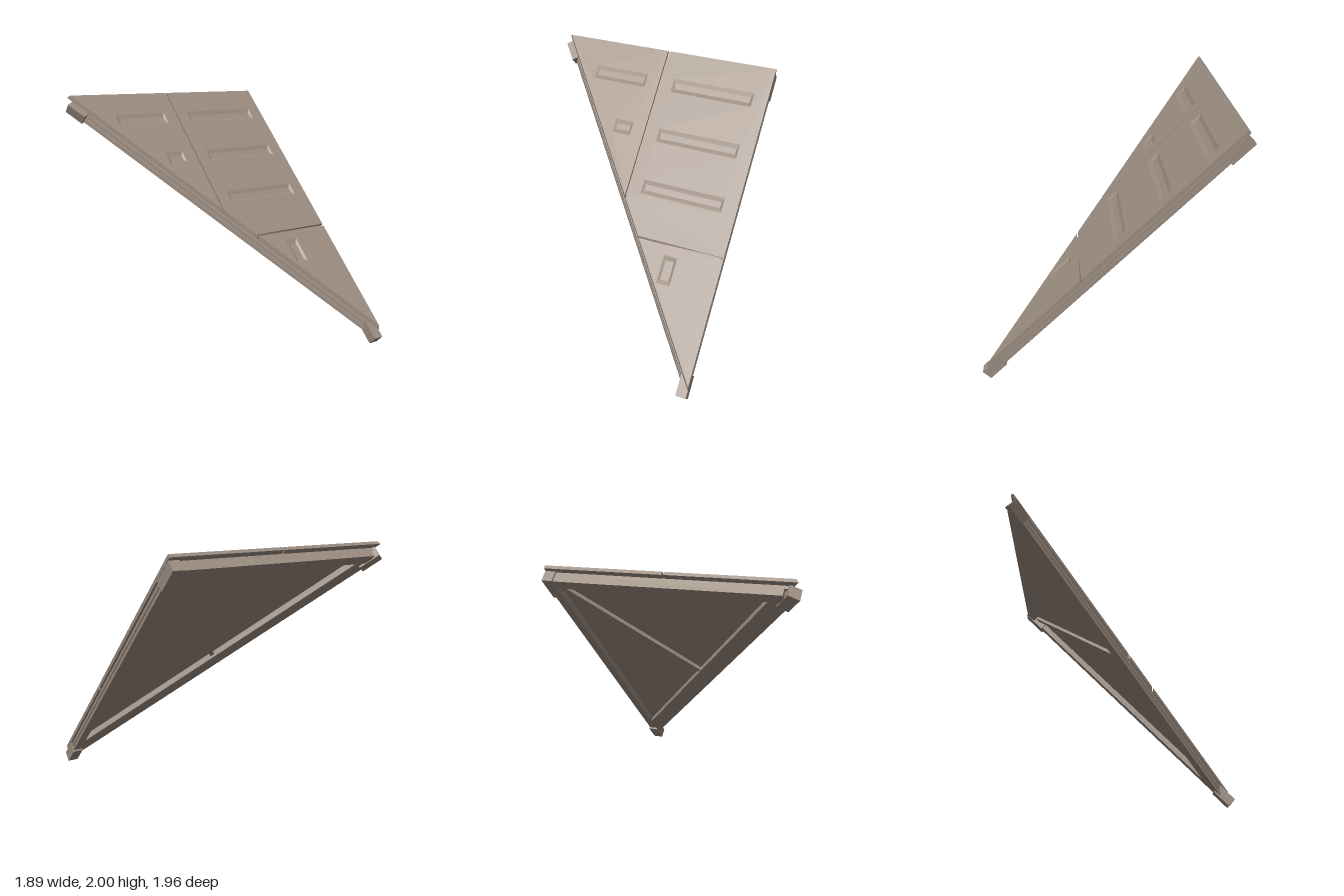
import * as THREE from 'three';

const ROOT2 = Math.SQRT2;
const TOP = 0.765;                                  // height of the outer skin along the panel normal
const hip = (x) => 0.769 - ROOT2 * x;               // slanted edge of the panel, in its own plane

// Flat plate in the panel plane from height n0 to n1.
// Corners lying on the hip edge (moved in by inset) get a plumb mitre cut.
function plate(points, n0, n1, { holes = [], inset = null } = {}) {
  const shape = new THREE.Shape(points.map(([x, s]) => new THREE.Vector2(x, s)));
  for (const [x0, s0, x1, s1] of holes) {
    shape.holes.push(new THREE.Path([[x0, s0], [x0, s1], [x1, s1], [x1, s0]].map(([x, s]) => new THREE.Vector2(x, s))));
  }
  const g = new THREE.ExtrudeGeometry(shape, { depth: n1 - n0, bevelEnabled: false });
  g.translate(0, 0, n0);
  if (inset !== null) {
    const p = g.attributes.position;
    for (let i = 0; i < p.count; i++) {
      const x = p.getX(i), s = p.getY(i), d = p.getZ(i) - TOP;
      if (Math.abs(s - hip(x) - inset) > 1e-3) continue;
      if (s > 1.9) p.setX(i, x + d / ROOT2);
      else p.setY(i, s + d);
    }
    g.computeVertexNormals();
  }
  return g;
}

// Shallow pan with sloping sides that fills a hole in the skin
function pan([x0, s0, x1, s1]) {
  const rim = [[x0, s0], [x1, s0], [x1, s1], [x0, s1]];
  const b = 0.035, e = 0.02;
  const floor = [[x0 + e, s0 + b], [x1 - e, s0 + b], [x1 - e, s1 - b], [x0 + e, s1 - b]];
  const v = [];
  const quad = (a, c, d, f) => v.push(...a, ...c, ...d, ...a, ...d, ...f);
  const R = rim.map((q) => [...q, TOP]), F = floor.map((q) => [...q, TOP - 0.012]);
  for (let i = 0; i < 4; i++) {
    const j = (i + 1) % 4;
    quad(R[i], R[j], F[j], F[i]);
  }
  quad(...F);
  const g = new THREE.BufferGeometry();
  g.setAttribute('position', new THREE.Float32BufferAttribute(v, 3));
  g.computeVertexNormals();
  return g;
}

export function createModel() {
  const model = new THREE.Group();
  model.name = 'triangularRoofPanel';
  const slope = new THREE.Group();
  slope.name = 'slopedPanel';
  slope.rotation.x = -Math.PI / 4;
  model.add(slope);

  const taupe = new THREE.MeshStandardMaterial({ color: 0x9a8b7f });
  taupe.name = 'taupe';
  const add = (name, geometry) => {
    const m = new THREE.Mesh(geometry, taupe);
    m.name = name;
    slope.add(m);
  };
  const rect = (x0, s0, x1, s1) => [[x0, s0], [x1, s0], [x1, s1], [x0, s1]];
  const hipX = (s) => (0.769 - s) / ROOT2;

  // Three skin plates separated by narrow joints, each with pressed dents
  const ridge = 2.063, right = 0.94, under = 0.738;
  const skins = [
    ['leftSkin', [[0.005, hip(0.005)], [0.005, ridge], [hipX(ridge), ridge]],
      [[-0.58, 1.71, -0.11, 1.83], [-0.27, 1.27, -0.11, 1.39]]],
    ['mainSkin', [[0.019, hip(0.019)], [hipX(0.467), 0.467], [right, 0.467], [right, ridge], [0.019, ridge]],
      [0.857, 1.31, 1.755].map((s) => [0.13, s - 0.045, 0.82, s + 0.075])],
    ['lowerSkin', [[hipX(0.451), 0.451], [right, hip(right)], [right, 0.451]],
      [[0.47, 0.14, 0.58, 0.37]]],
  ];
  for (const [name, outline, dents] of skins) {
    add(name, plate(outline, under, TOP, { holes: dents, inset: 0 }));
    for (const d of dents) add(name + 'Dent', pan(d));
  }

  // Backing sheet under the skins
  const m = 0.03;
  add('backingSheet', plate([[0.92, hip(0.92) + m], [0.92, 2.02], [hipX(2.02 - m), 2.02]], 0.712, 0.744, { inset: m }));

  // Edge rails: two strips with a groove between them, closed by a recessed core
  const strips = [[0.665, 0.691, 0], [0.691, 0.699, 0.012], [0.699, 0.724, 0]];
  for (const [n0, n1, back] of strips) {
    const part = back ? 'Groove' : 'Strip';
    add('sideRail' + part, plate(rect(0.865, -0.5, 0.934 - back, 1.9), n0, n1));
    const lo = back * 1.7;
    add('hipRail' + part, plate([
      [-0.86, hip(-0.86) + lo], [0.87, hip(0.87) + lo],
      [0.87, hip(0.87) + 0.14], [-0.76, hip(-0.76) + 0.14],
    ], n0, n1, { inset: lo }));
  }

  // Ridge beam along the top edge
  add('ridgeBeam', plate(rect(-0.84, 1.94, 0.9, 2.025), 0.655, 0.735));

  // Inner brace from the upper corner to the middle of the hip
  const from = new THREE.Vector2(0.875, 1.95), to = new THREE.Vector2(0.03, 0.78);
  const side = to.clone().sub(from).normalize();
  side.set(-side.y * 0.018, side.x * 0.018);
  add('diagonalBrace', plate([
    [from.x + side.x, from.y + side.y], [to.x + side.x, to.y + side.y],
    [to.x - side.x, to.y - side.y], [from.x - side.x, from.y - side.y],
  ], 0.685, 0.715));

  // Corner blocks at the ends of the rails
  add('lowerCornerBlock', plate(rect(0.855, -0.65, right, -0.47), 0.65, 0.735));
  add('upperCornerBlock', plate(rect(0.855, 1.825, right, 2.036), 0.65, 0.735));
  const along = [0.576 * 0.173, -0.817 * 0.173], across = [0.817 * 0.09, 0.576 * 0.09];
  const [cx, cs] = [-0.95, 1.987];
  add('hipCornerBlock', plate([
    [cx, cs], [cx + along[0], cs + along[1]],
    [cx + along[0] + across[0], cs + along[1] + across[1]], [cx + across[0], cs + across[1]],
  ], 0.65, 0.735));

  return model;
}
